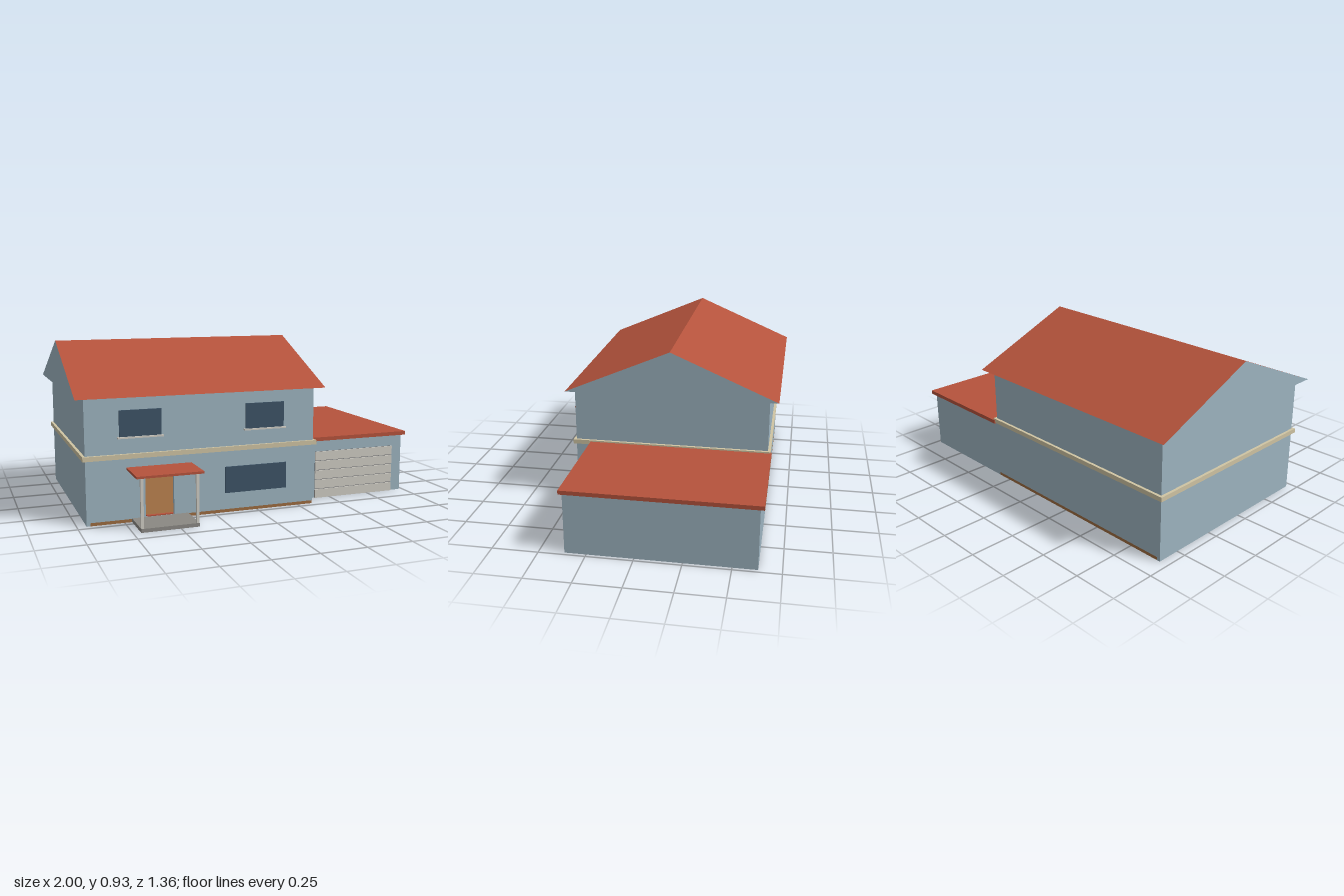
import * as THREE from 'three';

const mat = (name, color) => new THREE.MeshStandardMaterial({ name, color });

export function createModel() {
  const house = new THREE.Group();
  house.name = 'house';

  const wall = mat('wall blue', 0x9db4c0);
  const roof = mat('roof red', 0xb5533c);
  const glass = mat('window glass', 0x3d5366);
  const trim = mat('cream trim', 0xcfc4a3);
  const wood = mat('floor wood', 0x9c6b40);
  const panel = mat('light grey', 0xcfccc4);
  const stone = mat('porch stone', 0x8a8883);
  const groove = mat('groove grey', 0x75777a);

  // box given by its limits along each axis
  const box = (name, material, [x0, x1], [y0, y1], [z0, z1], parent = house) => {
    const mesh = new THREE.Mesh(new THREE.BoxGeometry(x1 - x0, y1 - y0, z1 - z0), material);
    mesh.position.set((x0 + x1) / 2, (y0 + y1) / 2, (z0 + z1) / 2);
    mesh.name = name;
    parent.add(mesh);
    return mesh;
  };

  const L = -0.95, R = 0.34, F = 0.465, B = -0.63; // outer faces of the main block
  const T = 0.02, base = 0.017, top = 0.67;        // wall thickness, floor top, eaves

  // hollow main block
  box('floor', wood, [L + T, R], [0, base], [B, F]);
  box('leftWall', wall, [L, L + T], [0, top], [B, F]);
  box('rightWall', wall, [R - T, R], [base, top], [B, F]);
  box('backWall', wall, [L + T, R - T], [base, top], [B, B + T]);

  // front wall with an open doorway
  const front = new THREE.Shape([[L + T, base], [R - T, base], [R - T, top], [L + T, top]]
    .map(([x, y]) => new THREE.Vector2(x, y)));
  front.holes.push(new THREE.Path([[-0.635, 0.02], [-0.635, 0.25], [-0.478, 0.25], [-0.478, 0.02]]
    .map(([x, y]) => new THREE.Vector2(x, y))));
  const frontWall = new THREE.Mesh(
    new THREE.ExtrudeGeometry(front, { depth: T, bevelEnabled: false }), wall);
  frontWall.position.z = F - T;
  frontWall.name = 'frontWall';
  house.add(frontWall);
  box('threshold', roof, [-0.63, -0.482], [0.018, 0.026], [F - T, F - 0.002]);

  // inner steps seen through the doorway
  [0.08, 0.13].forEach((h, i) =>
    box('innerStep', wall, [-0.605, -0.3], [base, h], [B + T, -0.4 - i * 0.08]));

  // trim between the storeys
  box('storeyBand', trim, [-0.965, 0.355], [0.345, 0.37], [-0.645, 0.48]);

  // gable roof: blue ends, red slopes
  const gable = new THREE.Shape([[-0.51, 0.67], [0.68, 0.67], [0.085, 0.925]]
    .map(([x, y]) => new THREE.Vector2(x, y)));
  const gableGeo = new THREE.ExtrudeGeometry(gable, { depth: 1.39, bevelEnabled: false });
  gableGeo.rotateY(Math.PI / 2);
  const mainRoof = new THREE.Mesh(gableGeo, [wall, roof]);
  mainRoof.position.x = -1;
  mainRoof.name = 'mainRoof';
  house.add(mainRoof);

  // windows and sills
  for (const x of [-0.77, -0.07]) {
    box('upperWindow', glass, [x, x + 0.225], [0.461, 0.6], [F, F + 0.008]);
    box('windowSill', panel, [x - 0.01, x + 0.235], [0.452, 0.461], [F, F + 0.016]);
  }
  box('lowerWindow', glass, [-0.19, 0.173], [0.11, 0.256], [F, F + 0.008]);

  // garage
  const garage = new THREE.Group();
  garage.name = 'garage';
  house.add(garage);
  box('garageBody', wall, [R, 0.98], [0, 0.34], [B, 0.365], garage);
  box('garageRoof', roof, [R, 1], [0.34, 0.362], [-0.65, 0.38], garage);
  box('doorBacking', groove, [0.405, 0.915], [0.002, 0.276], [0.365, 0.367], garage);
  for (let i = 0; i < 5; i++) {
    box('garageDoorPanel', panel, [0.405, 0.915],
      [i * 0.056, i * 0.056 + 0.051], [0.365, 0.374], garage);
  }

  // porch
  const porch = new THREE.Group();
  porch.name = 'porch';
  house.add(porch);
  box('porchSlab', stone, [-0.71, -0.4], [0, 0.02], [F, 0.663], porch);
  box('porchRoof', roof, [-0.735, -0.38], [0.285, 0.297], [F, 0.683], porch);
  for (const x of [-0.71, -0.415]) {
    box('porchPost', panel, [x, x + 0.015], [0.02, 0.285], [0.646, 0.661], porch);
  }

  return house;
}
